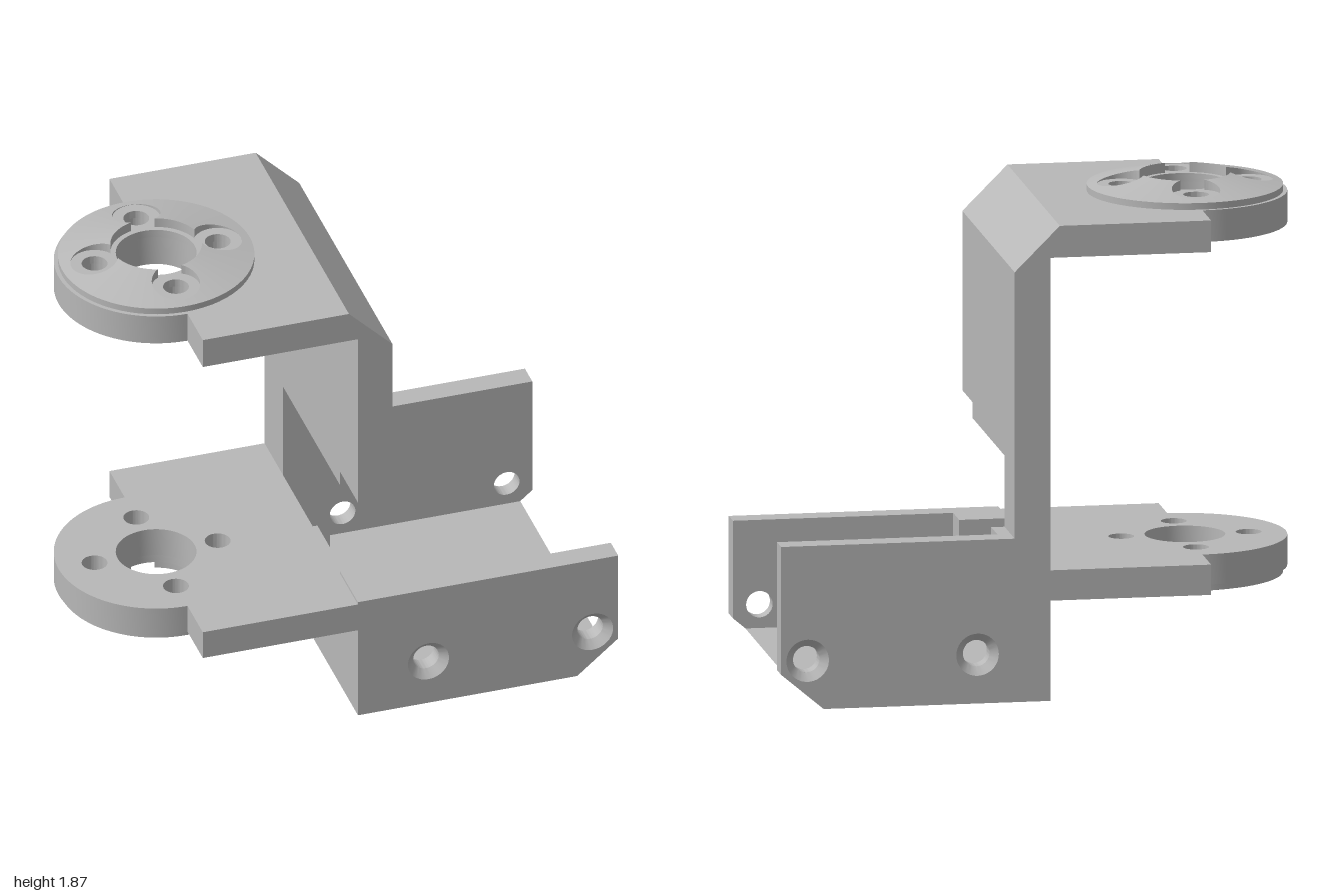
import * as THREE from 'three';
import { toCreasedNormals } from 'three/addons/utils/BufferGeometryUtils.js';

const W = 0.565;        // half depth of the bracket
const POST = 0.345;     // inner face of the corner posts
const WALL = 0.475;     // inner face of the side walls
const X0 = -0.015;      // rear face of the upright and the cradle
const AXIS = -0.62;     // pivot axis of both arms

const grey = new THREE.MeshStandardMaterial({ color: 0xb8b8b8 });
grey.name = 'grey plastic';

function add(parent, name, geometry) {
  const mesh = new THREE.Mesh(toCreasedNormals(geometry, 0.5), grey);
  mesh.name = name;
  parent.add(mesh);
  return mesh;
}

function box(parent, name, x0, x1, y0, y1, z0, z1) {
  const g = new THREE.BoxGeometry(x1 - x0, y1 - y0, z1 - z0);
  g.translate((x0 + x1) / 2, (y0 + y1) / 2, (z0 + z1) / 2);
  return add(parent, name, g);
}

const polygon = (points) => new THREE.Shape(points.map(([x, y]) => new THREE.Vector2(x, y)));

function hole(shape, x, y, r) {
  shape.holes.push(new THREE.Path().absarc(x, y, r, 0, Math.PI * 2, true));
}

// Extrude along z from z0 to z1
function slab(shape, z0, z1) {
  const g = new THREE.ExtrudeGeometry(shape, { depth: z1 - z0, bevelEnabled: false, curveSegments: 32 });
  return g.translate(0, 0, z0);
}

// Extrude a plan shape upward from y0 to y1
const plate = (shape, y0, y1) => slab(shape, y0, y1).rotateX(-Math.PI / 2);

// Centre bore and four screw holes around it
function hubHoles(shape, cx) {
  hole(shape, cx, 0, 0.15);
  for (let i = 0; i < 4; i++) {
    const a = i * Math.PI / 2;
    hole(shape, cx + 0.24 * Math.cos(a), 0.24 * Math.sin(a), 0.048);
  }
  return shape;
}

// Arm with a rounded end, in plan
function armShape(xEnd) {
  const s = new THREE.Shape();
  s.moveTo(xEnd, -W).lineTo(xEnd, W).lineTo(AXIS, W).lineTo(AXIS, 0.38);
  s.absarc(AXIS, 0, 0.38, Math.PI / 2, Math.PI * 1.5, false);
  s.lineTo(AXIS, -W);
  return hubHoles(s, AXIS);
}

// Conical cap with a centre recess and four round counterbores
function coneCap() {
  const rIn = 0.17, rOut = 0.365, yRim = 0.025, yTop = 0.07, yFloor = 0.032;
  const dist = 0.24, bore = 0.09, limit = Math.asin(bore / dist);
  const height = (r) => yTop + (yRim - yTop) * (r - rIn) / (rOut - rIn);
  const columns = [];
  const column = (theta, phi) => {
    const root = Math.sqrt(Math.max(0, bore ** 2 - (dist * Math.sin(phi)) ** 2));
    const mid = dist * Math.cos(phi);
    columns.push({ theta, c: Math.max(rIn, mid - root), d: mid + root });
  };
  for (let q = 0; q < 4; q++) {
    const base = q * Math.PI / 2;
    for (let i = 0; i <= 32; i++) {
      const phi = limit * Math.sin((i / 32 - 0.5) * Math.PI);
      column(base + phi, phi);
    }
    for (let i = 1; i < 10; i++) {
      column(base + limit + (Math.PI / 2 - 2 * limit) * i / 10, limit);
    }
  }
  const pos = [];
  const point = (k, r, y) => [r * Math.cos(k.theta), y, -r * Math.sin(k.theta)];
  const band = (k0, k1, from, to) => {
    const p0 = point(k0, ...from(k0)), q0 = point(k0, ...to(k0));
    const p1 = point(k1, ...from(k1)), q1 = point(k1, ...to(k1));
    pos.push(...p0, ...q0, ...q1, ...p0, ...q1, ...p1);
  };
  const aLow = () => [rIn, yFloor], aTop = () => [rIn, yTop];
  const cTop = (k) => [k.c, height(k.c)], cLow = (k) => [k.c, yFloor];
  const dTop = (k) => [k.d, height(k.d)], dLow = (k) => [k.d, yFloor];
  const rim = () => [rOut, yRim];
  columns.forEach((k0, i) => {
    const k1 = columns[(i + 1) % columns.length];
    if (Math.max(k0.c, k1.c) > rIn + 1e-6) {
      band(k0, k1, aLow, aTop);
      band(k0, k1, aTop, cTop);
    }
    if (Math.max(k0.d - k0.c, k1.d - k1.c) > 1e-5) {
      if (Math.max(k0.c, k1.c) > rIn + 1e-6) band(k0, k1, cTop, cLow);
      band(k0, k1, dLow, dTop);
    }
    band(k0, k1, dTop, rim);
  });
  const g = new THREE.BufferGeometry();
  g.setAttribute('position', new THREE.Float32BufferAttribute(pos, 3));
  g.computeVertexNormals();
  return g;
}

// Pivot disc, standing on its own y = 0
function pivotDisc(name) {
  const disc = new THREE.Group();
  disc.name = name;
  const round = (r) => hubHoles(new THREE.Shape().absarc(0, 0, r, 0, Math.PI * 2, false), 0);
  add(disc, 'discRim', plate(round(0.365), 0, 0.025));
  add(disc, 'discRecessFloor', plate(round(0.33), 0.025, 0.032));
  add(disc, 'discCone', coneCap());
  return disc;
}

// Cradle side wall with two countersunk screw holes; side is +1 front, -1 back
function sideWall(parent, name, h, side) {
  const sink = 0.03;
  const outline = (r) => {
    const s = polygon([[X0, 0], [0.84, 0], [1, 0.135], [1, h], [X0, h]]);
    for (const x of [0.26, 0.9]) hole(s, x, 0.185, r);
    return s;
  };
  const span = (a, b) => (side > 0 ? [a, b] : [-b, -a]);
  add(parent, name, slab(outline(0.05), ...span(WALL, W - sink)));
  add(parent, name + 'Skin', slab(outline(0.08), ...span(W - sink, W)));
  for (const x of [0.26, 0.9]) {
    // Profile runs inward so that the cone faces its own axis
    const g = new THREE.LatheGeometry([new THREE.Vector2(0.08, sink), new THREE.Vector2(0.05, 0)], 40);
    g.rotateX(side * Math.PI / 2).translate(x, 0.185, side * (W - sink));
    add(parent, name + 'Countersink', g);
  }
}

export function createModel() {
  const model = new THREE.Group();
  model.name = 'pivotBracket';

  // Upper arm and upright with a chamfered corner
  add(model, 'upperArm', plate(armShape(-0.05), 1.68, 1.8));
  add(model, 'upright', slab(polygon([
    [X0, 0.95], [0.12, 0.95], [0.12, 1.63], [-0.05, 1.8], [-0.05, 1.68], [X0, 1.68],
  ]), -W, W));
  box(model, 'uprightLowerEdge', X0, 0.12, 0.89, 0.95, -POST, POST);
  box(model, 'uprightColumn', X0, 0.12, 0.62, 0.95, -W, -POST);

  // Lower arm
  add(model, 'lowerArm', plate(armShape(X0), 0.38, 0.495));

  // Pivot discs on the outer faces of the arms
  const top = pivotDisc('upperPivotDisc');
  top.position.set(AXIS, 1.8, 0);
  const bottom = pivotDisc('lowerPivotDisc');
  bottom.position.set(AXIS, 0.38, 0);
  bottom.rotation.x = Math.PI;
  model.add(top, bottom);

  // Cradle
  add(model, 'cradleFloor', slab(polygon([
    [X0, 0], [0.84, 0], [0.953, 0.095], [X0, 0.095],
  ]), -WALL, WALL));
  box(model, 'cradleRearSill', X0, 0.12, 0.095, 0.24, -POST, POST);
  box(model, 'frontPost', X0, 0.17, 0.095, 0.505, POST, WALL);
  box(model, 'backPost', X0, 0.17, 0.095, 0.62, -WALL, -POST);
  sideWall(model, 'frontWall', 0.505, 1);
  sideWall(model, 'backWall', 0.62, -1);

  return model;
}
